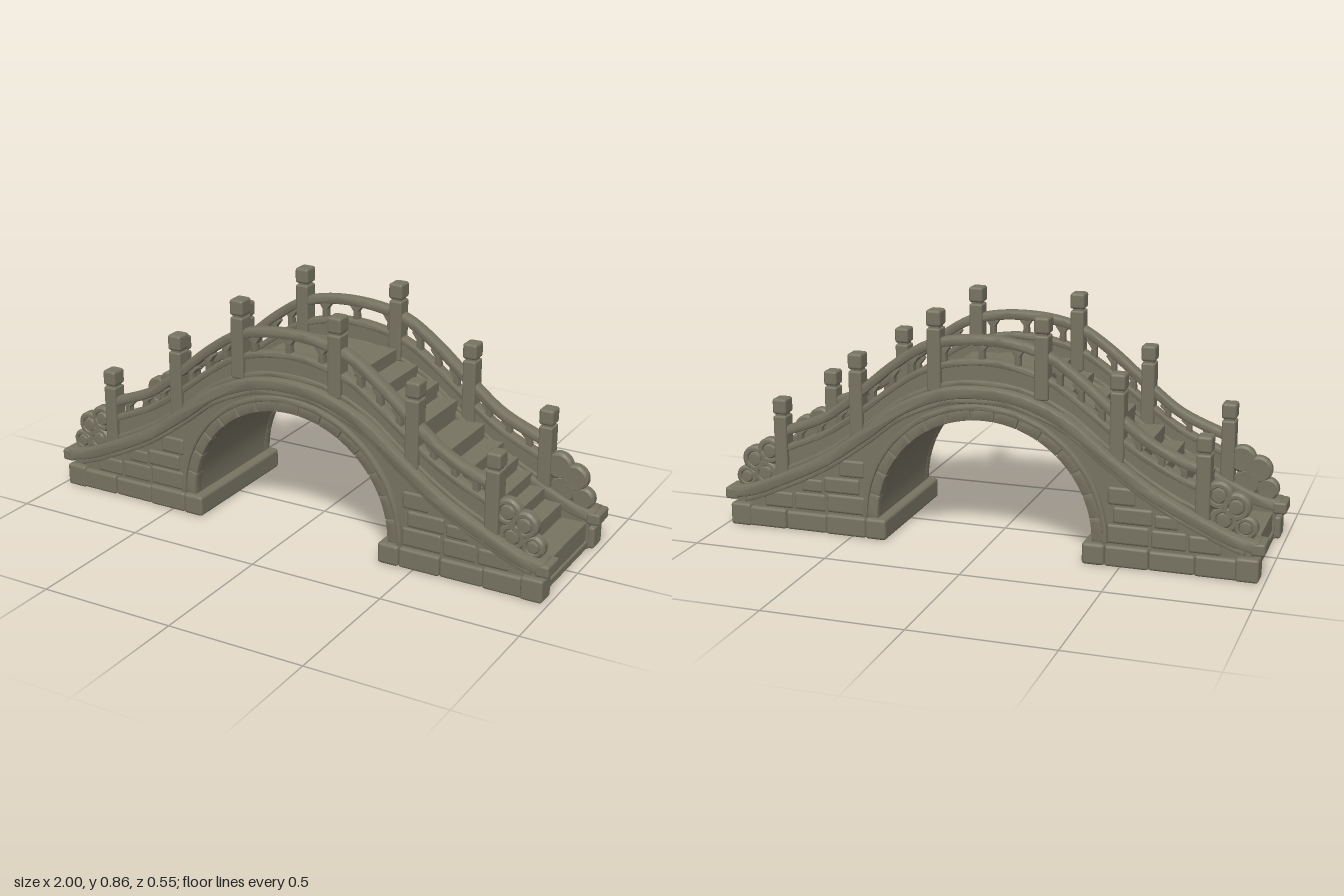
import * as THREE from 'three';
import { toCreasedNormals } from 'three/addons/utils/BufferGeometryUtils.js';
import { RoundedBoxGeometry } from 'three/addons/geometries/RoundedBoxGeometry.js';

const stone = new THREE.MeshStandardMaterial({ color: 0x777362 });
stone.name = 'weathered stone';

// Smooth symmetric height curve through [x, y] points, x >= 0
function profile(pts) {
  const slope = pts.map((p, i) => {
    if (i === 0) return 0;
    const a = pts[i - 1], b = pts[Math.min(i + 1, pts.length - 1)];
    return (b[1] - a[1]) / (b[0] - a[0]);
  });
  return (x) => {
    x = Math.abs(x);
    let i = 0;
    while (i < pts.length - 2 && x > pts[i + 1][0]) i++;
    const [x0, y0] = pts[i], [x1, y1] = pts[i + 1], h = x1 - x0, t = (x - x0) / h;
    return y0 * (1 + 2 * t) * (1 - t) ** 2 + slope[i] * h * t * (1 - t) ** 2
      + y1 * t * t * (3 - 2 * t) + slope[i + 1] * h * t * t * (t - 1);
  };
}

const curbY = profile([[0, 0.578], [0.15, 0.56], [0.31, 0.49], [0.44, 0.39], [0.6, 0.278], [0.78, 0.187], [0.9, 0.137], [1, 0.12]]);
const panelY = profile([[0, 0.69], [0.2, 0.655], [0.33, 0.58], [0.48, 0.465], [0.6, 0.385], [0.78, 0.305]]);
const railY = profile([[0, 0.757], [0.2, 0.728], [0.33, 0.65], [0.48, 0.525], [0.6, 0.435], [0.78, 0.36]]);

const range = (a, b, n) => Array.from({ length: n + 1 }, (_, i) => a + (b - a) * i / n);
const vec = (x, y) => new THREE.Vector2(x, y);

// Extrusion occupying z0..z1, bevel included
function slab(points, z0, z1, bevel = 0) {
  const geo = new THREE.ExtrudeGeometry(new THREE.Shape(points), {
    depth: z1 - z0 - 2 * bevel, bevelEnabled: bevel > 0, bevelSize: bevel,
    bevelThickness: bevel, bevelOffset: -bevel, bevelSegments: 2,
  });
  geo.translate(0, 0, z0 + bevel);
  return toCreasedNormals(geo, 0.6);
}

// Points of a strip of constant thickness following a height curve
function strip(f, x0, x1, thick, n) {
  const top = [], bottom = [];
  for (const x of range(x0, x1, n)) {
    const s = (f(x + 0.005) - f(x - 0.005)) / 0.01, k = thick / 2 / Math.hypot(1, s);
    top.push(vec(x - s * k, f(x) + k));
    bottom.push(vec(x + s * k, f(x) - k));
  }
  return bottom.concat(top.reverse());
}

function arc(r0, r1, a0, a1, n) {
  const at = (r) => (a) => vec(r * Math.cos(a), 0.08 + r * Math.sin(a));
  return range(a0, a1, n).map(at(r1)).concat(range(a1, a0, n).map(at(r0)));
}

export function createModel() {
  const model = new THREE.Group();
  model.name = 'archedBridge';

  const add = (parent, name, geo, x = 0, y = 0, z = 0) => {
    const mesh = new THREE.Mesh(geo, stone);
    mesh.name = name;
    mesh.position.set(x, y, z);
    parent.add(mesh);
    return mesh;
  };
  const block = (parent, name, x0, x1, y0, y1, z0, z1, r = 0.009) => add(parent, name,
    new RoundedBoxGeometry(x1 - x0, y1 - y0, z1 - z0, 2, r), (x0 + x1) / 2, (y0 + y1) / 2, (z0 + z1) / 2);

  // Hollow stair shell, climbing from both ends to a flat crown
  const treads = [[0.19, 0.612], [0.275, 0.565], [0.36, 0.515], [0.435, 0.46], [0.545, 0.39], [0.62, 0.335],
    [0.68, 0.29], [0.735, 0.245], [0.79, 0.2], [0.855, 0.155], [0.95, 0.1]];
  const half = [];
  treads.forEach(([x, y], i) => half.push([x, y], [x, i < 10 ? treads[i + 1][1] : 0]));
  const under = half.map(([x, y]) => [x - 0.02, Math.max(0, y - 0.02)]);
  const flip = (pts) => pts.map(([x, y]) => [-x, y]).reverse();
  const outline = [...flip(half), ...half, ...[...under].reverse(), ...flip(under).reverse()];
  add(model, 'steps', slab(outline.map(([x, y]) => vec(x, y)), -0.198, 0.198));

  // Barrel vault with straight feet
  add(model, 'vault', slab([vec(0.43, 0.01), ...arc(0.4, 0.43, 0, Math.PI, 40).slice(0, 41), vec(-0.43, 0.01),
    vec(-0.4, 0.01), ...arc(0.4, 0.43, 0, Math.PI, 40).slice(41), vec(0.4, 0.01)], -0.25, 0.25));

  // Footings under the vault and bottom risers
  for (const s of [-1, 1]) {
    const foot = block(model, 'vaultFooting', 0.365, 0.445, 0, 0.078, -0.272, 0.272, 0.012);
    foot.position.x *= s;
    const sill = block(model, 'endSill', 0.925, 0.958, 0, 0.03, -0.22, 0.22, 0.006);
    sill.position.x *= s;
  }

  for (const side of [1, -1]) {
    const face = new THREE.Group();
    face.name = side > 0 ? 'frontSide' : 'backSide';
    // Half turn keeps the back identical, mirrored in z
    if (side < 0) face.rotation.y = Math.PI;
    model.add(face);

    // Spandrel wall with the arch cut out
    const wall = [vec(0.41, 0), vec(0.96, 0), ...range(0.96, -0.96, 60).map((x) => vec(x, curbY(x) - 0.005)),
      vec(-0.96, 0), vec(-0.41, 0), ...range(Math.PI, 0, 40).map((a) => vec(0.41 * Math.cos(a), 0.08 + 0.41 * Math.sin(a)))];
    add(face, 'spandrelWall', slab(wall, 0.19, 0.25));

    // Arch ring stones and outer moulding
    const n = 15;
    for (let i = 0; i < n; i++) {
      add(face, 'archStone', slab(arc(0.398, 0.438, (i + 0.02) * Math.PI / n, (i + 0.98) * Math.PI / n, 5), 0.22, 0.26, 0.004));
    }
    add(face, 'archMoulding', slab(arc(0.436, 0.455, 0, Math.PI, 48), 0.22, 0.268, 0.005));

    // Sweeping curb with blunt ends
    add(face, 'curb', slab(strip(curbY, -0.975, 0.975, 0.042, 80), 0.185, 0.275, 0.008));
    add(face, 'curbLowerMoulding', slab(strip((x) => curbY(x) - 0.03, -0.93, 0.93, 0.022, 70), 0.2, 0.262, 0.005));

    // Railing panel with raised borders
    const panel = range(-0.79, 0.79, 60).map((x) => vec(x, curbY(x)))
      .concat(range(0.79, -0.79, 60).map((x) => vec(x, panelY(x))));
    add(face, 'railingPanel', slab(panel, 0.206, 0.234));
    add(face, 'panelTopBorder', slab(strip((x) => panelY(x) - 0.01, -0.79, 0.79, 0.022, 60), 0.198, 0.243, 0.005));
    add(face, 'panelBottomBorder', slab(strip((x) => curbY(x) + 0.028, -0.79, 0.79, 0.02, 60), 0.198, 0.243, 0.005));
    add(face, 'handrail', slab(strip(railY, -0.79, 0.79, 0.034, 60), 0.198, 0.246, 0.01));

    // Posts with waisted necks and cube caps
    const inner = side > 0 ? [-0.21, 0.18] : [-0.18, 0.21];
    const posts = [[inner[0], 0.855, 0.565], [inner[1], 0.855, 0.565]];
    for (const s of [-1, 1]) posts.push([s * 0.478, 0.68, 0.37], [s * 0.778, 0.49, 0.19]);
    for (const [x, top, base] of posts) {
      const post = new THREE.Group();
      post.name = 'post';
      face.add(post);
      block(post, 'postShaft', x - 0.025, x + 0.025, base, top - 0.064, 0.191, 0.253, 0.007);
      block(post, 'postNeck', x - 0.019, x + 0.019, top - 0.08, top - 0.04, 0.199, 0.245, 0.004);
      block(post, 'postCap', x - 0.027, x + 0.027, top - 0.058, top, 0.19, 0.254, 0.01);
    }

    // Little carved supports between panel and handrail
    for (const x of [-0.71, -0.63, -0.55, -0.42, -0.345, -0.27, -0.15, -0.01, 0.12, 0.27, 0.345, 0.42, 0.55, 0.63, 0.71]) {
      const y0 = panelY(x) - 0.008, y1 = railY(x);
      add(face, 'railSupport', slab([vec(x - 0.011, y0), vec(x + 0.011, y0), vec(x + 0.009, (y0 + y1) / 2),
        vec(x + 0.028, y1 - 0.012), vec(x + 0.02, y1), vec(x - 0.02, y1), vec(x - 0.028, y1 - 0.012),
        vec(x - 0.009, (y0 + y1) / 2)], 0.207, 0.237, 0.003));
    }

    for (const s of [-1, 1]) {
      // Cloud scroll at the end of the railing
      const scroll = new THREE.Group();
      scroll.name = 'endScroll';
      face.add(scroll);
      for (const [x, y, r] of [[0.83, 0.285, 0.05], [0.89, 0.25, 0.05], [0.925, 0.18, 0.042], [0.85, 0.2, 0.05]]) {
        const rim = [vec(0, -0.02), vec(r - 0.008, -0.021), vec(r, -0.013), vec(r, 0.013), vec(r - 0.008, 0.021),
          vec(r * 0.62, 0.021), vec(r * 0.55, 0.015), vec(r * 0.45, 0.023), vec(0, 0.025)];
        const disc = add(scroll, 'scrollDisc', toCreasedNormals(new THREE.LatheGeometry(rim, 28), 0.6), s * x, y, 0.221);
        disc.rotation.x = Math.PI / 2;
      }

      // Blunt curb end
      const end = block(face, 'curbEnd', 0.95, 1, 0.098, 0.142, 0.182, 0.276, 0.009);
      end.position.x *= s;

      // Base course and a scatter of raised wall stones
      const stones = [[0.445, 0.6, 0, 0.075, 0.268], [0.6, 0.76, 0, 0.07, 0.264], [0.76, 0.91, 0, 0.075, 0.268],
        [0.9, 0.98, 0, 0.084, 0.274], [0.45, 0.6, 0.08, 0.15, 0.256], [0.47, 0.61, 0.155, 0.215, 0.258],
        [0.45, 0.55, 0.22, 0.285, 0.256], [0.605, 0.73, 0.078, 0.145, 0.255], [0.735, 0.85, 0.078, 0.14, 0.256],
        [0.615, 0.7, 0.15, 0.2, 0.255]];
      for (const [x0, x1, y0, y1, z] of stones) {
        const b = block(face, y0 === 0 ? 'baseStone' : 'wallStone', x0, x1, y0, y1, y0 === 0 ? 0.195 : 0.21, z, 0.01);
        b.position.x *= s;
      }
    }
  }
  return model;
}
